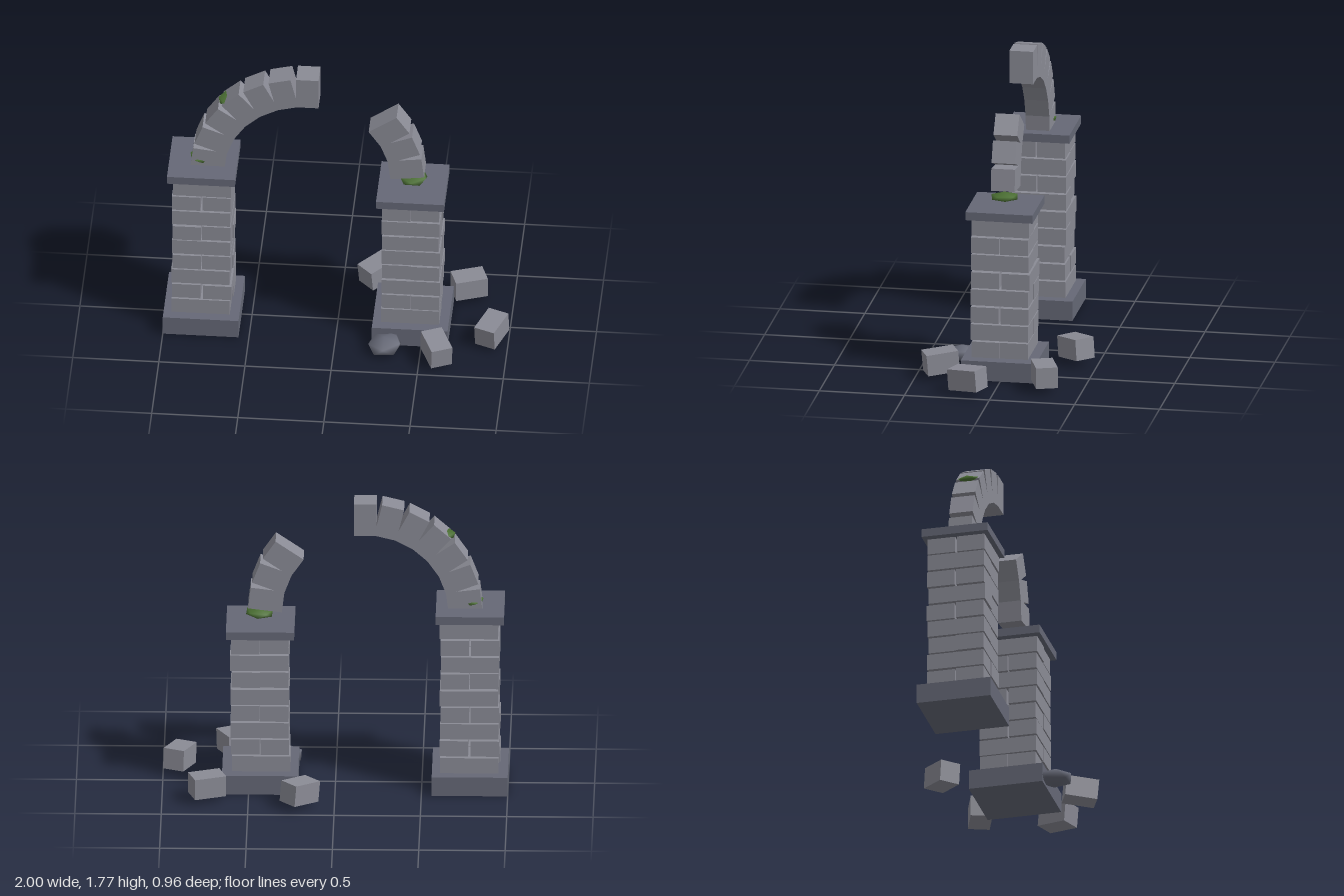
import * as THREE from 'three';
import { mergeVertices } from 'three/addons/utils/BufferGeometryUtils.js';

const CZ = 0.01; // depth centre of pillars and arch

export function createModel() {
  const root = new THREE.Group();
  root.name = 'ruinedArch';

  const material = (name, color) => {
    const m = new THREE.MeshStandardMaterial({ color });
    m.name = name;
    return m;
  };
  const stone = material('stone grey', 0x8a8b95);
  const dark = material('dark slate', 0x656876);
  const moss = material('moss green', 0x4a6e32);

  // Seeded jitter in the range -a..a
  let seed = 7;
  const jitter = (a) => {
    seed = (seed * 16807) % 2147483647;
    return (seed / 2147483647 * 2 - 1) * a;
  };

  const box = (parent, name, mat, size, pos, rot = [0, 0, 0]) => {
    const mesh = new THREE.Mesh(new THREE.BoxGeometry(...size), mat);
    mesh.name = name;
    mesh.position.set(...pos);
    mesh.rotation.set(...rot, 'YXZ');
    parent.add(mesh);
    return mesh;
  };

  // Smooth faceted lump, squashed to the given radii
  const lump = (name, mat, radii, pos, rot = [0, 0, 0]) => {
    let geo = new THREE.IcosahedronGeometry(1, 0);
    geo.deleteAttribute('normal');
    geo.deleteAttribute('uv');
    geo = mergeVertices(geo, 1e-4);
    geo.rotateZ(Math.atan(0.618)); // one corner straight up
    geo.scale(...radii);
    geo.computeVertexNormals();
    const mesh = new THREE.Mesh(geo, mat);
    mesh.name = name;
    mesh.position.set(...pos);
    mesh.rotation.set(...rot);
    root.add(mesh);
  };

  // Pillar: plinth, courses of paired bricks turned in alternate directions, cap
  const pillar = (name, x, courses) => {
    const g = new THREE.Group();
    g.name = name;
    root.add(g);
    const pitch = 0.1056, long = 0.338, short = 0.165;
    box(g, 'plinth', dark, [0.44, 0.117, 0.44], [x, 0.0665, CZ]);
    for (let i = 0; i < courses; i++) {
      const y = 0.178 + i * pitch;
      for (const s of [-1, 1]) {
        const off = s * 0.0865;
        const jx = jitter(0.006), jz = jitter(0.006);
        if (i % 2) box(g, 'brick', stone, [short, 0.095, long], [x + off + jx, y, CZ + jz]);
        else box(g, 'brick', stone, [long, 0.095, short], [x + jx, y, CZ + off + jz]);
      }
    }
    box(g, 'cap', dark, [0.395, 0.049, 0.395], [x, 0.15 + courses * pitch, CZ]);
  };
  pillar('leftBrokenPillar', 0.434, 8);
  pillar('rightPillar', -0.78, 9);

  // Arch: thirteen stone positions on a half circle, three missing near the crown
  const arch = new THREE.Group();
  arch.name = 'arch';
  root.add(arch);
  const R = 0.577, AX = -0.173, AY = 1.1;
  for (let i = 0; i < 13; i++) {
    if (i > 2 && i < 6) continue;
    const a = (i + 0.5) / 13 * Math.PI;
    box(arch, 'archStone', stone, [0.197, 0.131, 0.14],
      [AX + R * Math.cos(a), AY + R * Math.sin(a), CZ], [0, 0, a]);
  }

  // Fallen arch stones: x, z, turn, tilt
  const fallen = [
    [0.2, -0.366, 0.77, 0.11],
    [0.738, -0.276, 0.34, 0],
    [0.904, 0.147, 1.19, 0.09],
    [0.6, 0.358, -1.15, -0.09],
  ];
  for (const [x, z, turn, tilt] of fallen) {
    box(root, 'fallenStone', stone, [0.19, 0.125, 0.127], [x, 0.1, z], [0, turn, tilt]);
  }

  // Loose rock and moss patches
  lump('rock', dark, [0.108, 0.05, 0.108], [0.294, 0.055, 0.285], [0, 0.3, 0.08]);
  lump('moss', moss, [0.088, 0.025, 0.088], [0.44, 1.064, CZ], [0, 0.2, 0.06]);
  lump('moss', moss, [0.066, 0.018, 0.095], [-0.797, 1.156, CZ], [0, 0, 0.06]);
  lump('moss', moss, [0.062, 0.019, 0.076], [-0.638, 1.567, CZ], [0, 0, 0.04]);

  return root;
}
